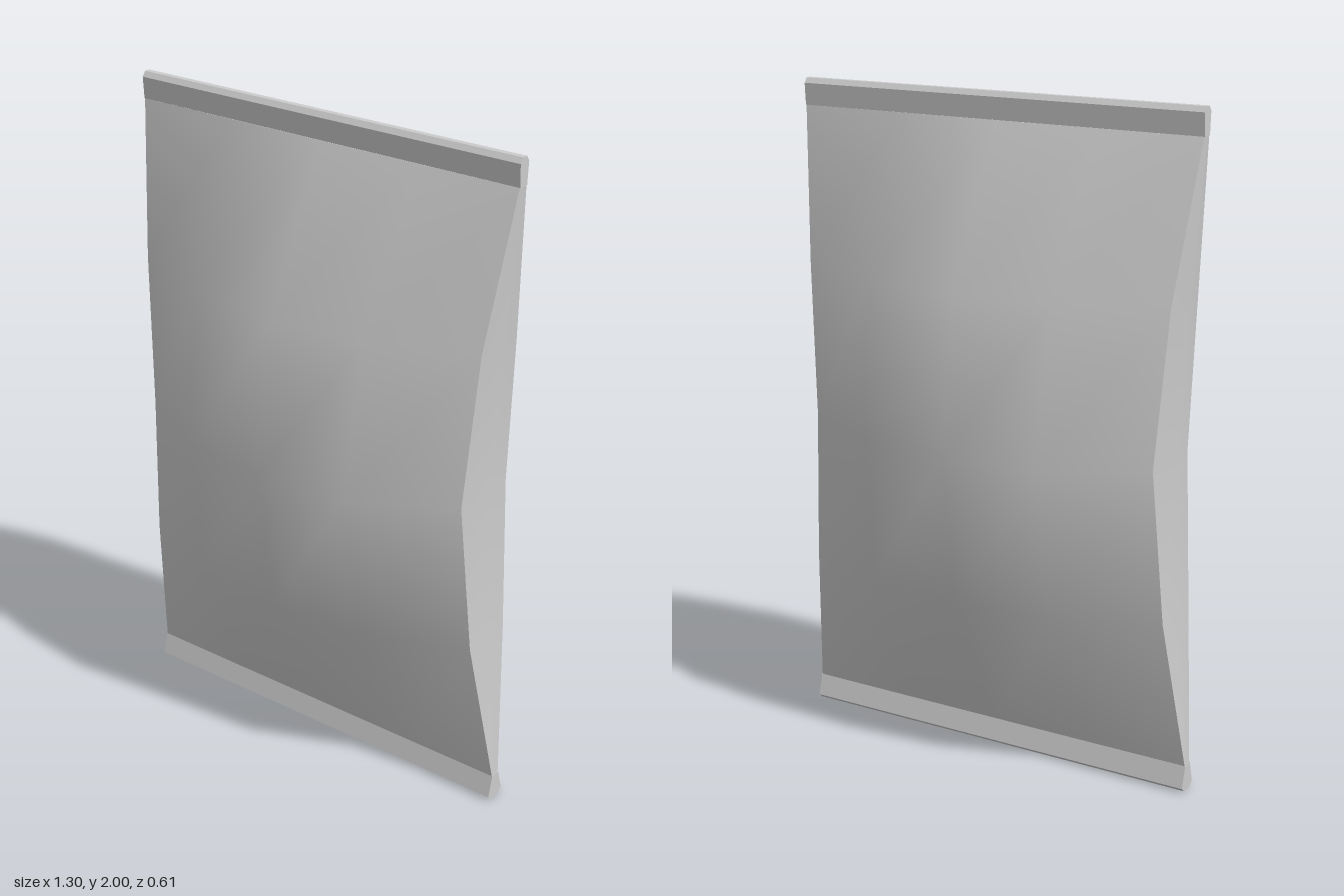
import * as THREE from 'three';

// Indexed smooth surface from rows of [x, y, z] points
function gridSurface(rows) {
  const n = rows[0].length, index = [];
  for (let r = 0; r < rows.length - 1; r++) {
    for (let c = 0; c < n - 1; c++) {
      const a = r * n + c, b = a + 1, d = a + n, e = d + 1;
      index.push(a, b, e, a, e, d);
    }
  }
  const g = new THREE.BufferGeometry();
  g.setAttribute('position', new THREE.Float32BufferAttribute(rows.flat(2), 3));
  g.setIndex(index);
  g.computeVertexNormals();
  return g;
}

export function createModel() {
  const group = new THREE.Group();
  const foil = new THREE.MeshStandardMaterial({ color: 0xcccccc });
  foil.name = 'greyFoil';

  const add = (name, geometry) => {
    const mesh = new THREE.Mesh(geometry, foil);
    mesh.name = name;
    group.add(mesh);
    return mesh;
  };

  // Cross-sections from bottom seam to top seam
  const half = [
    { y: 0.08, mid: 0.017, qx: 0.325, qz: 0.017, ex: 0.648, ez: 0.016, sx: 0.65 },
    { y: 0.54, mid: 0.24, qx: 0.3, qz: 0.213, ex: 0.598, ez: 0.086, sx: 0.613 },
    { y: 1.0, mid: 0.306, qx: 0.282, qz: 0.275, ex: 0.568, ez: 0.112, sx: 0.59 },
  ];
  const sections = [...half, ...[1, 0].map((i) => ({ ...half[i], y: 2 - half[i].y }))];

  // Puffed front and back panels
  const face = sections.map(({ y, mid, qx, qz, ex, ez }) => [
    [-ex, y, ez], [-qx, y, qz], [0, y, mid], [qx, y, qz], [ex, y, ez],
  ]);
  const faceGeometry = gridSurface(face);
  add('frontPanel', faceGeometry);
  add('backPanel', faceGeometry).rotation.y = Math.PI;

  // Narrow side gussets
  const side = sections.map(({ y, ex, ez, sx }) => [[ex, y, ez], [sx, y, 0], [ex, y, -ez]]);
  const sideGeometry = gridSurface(side);
  add('leftGusset', sideGeometry);
  add('rightGusset', sideGeometry).rotation.y = Math.PI;

  // Crimped seams, each a [z, y] half profile swept across the width
  const seam = (name, profile) => {
    const outline = [...profile, ...profile.map(([z, y]) => [-z, y]).reverse()];
    const shape = new THREE.Shape(outline.map(([z, y]) => new THREE.Vector2(z, y)));
    const g = new THREE.ExtrudeGeometry(shape, { depth: 1.3, bevelEnabled: false });
    g.translate(0, 0, -0.65);
    g.rotateY(Math.PI / 2);
    add(name, g);
  };
  seam('bottomSeam', [[0.018, 0], [0.034, 0.014], [0.016, 0.08]]);
  seam('topSeam', [[0.016, 1.92], [0.02, 1.985], [0.009, 2]]);

  return group;
}
